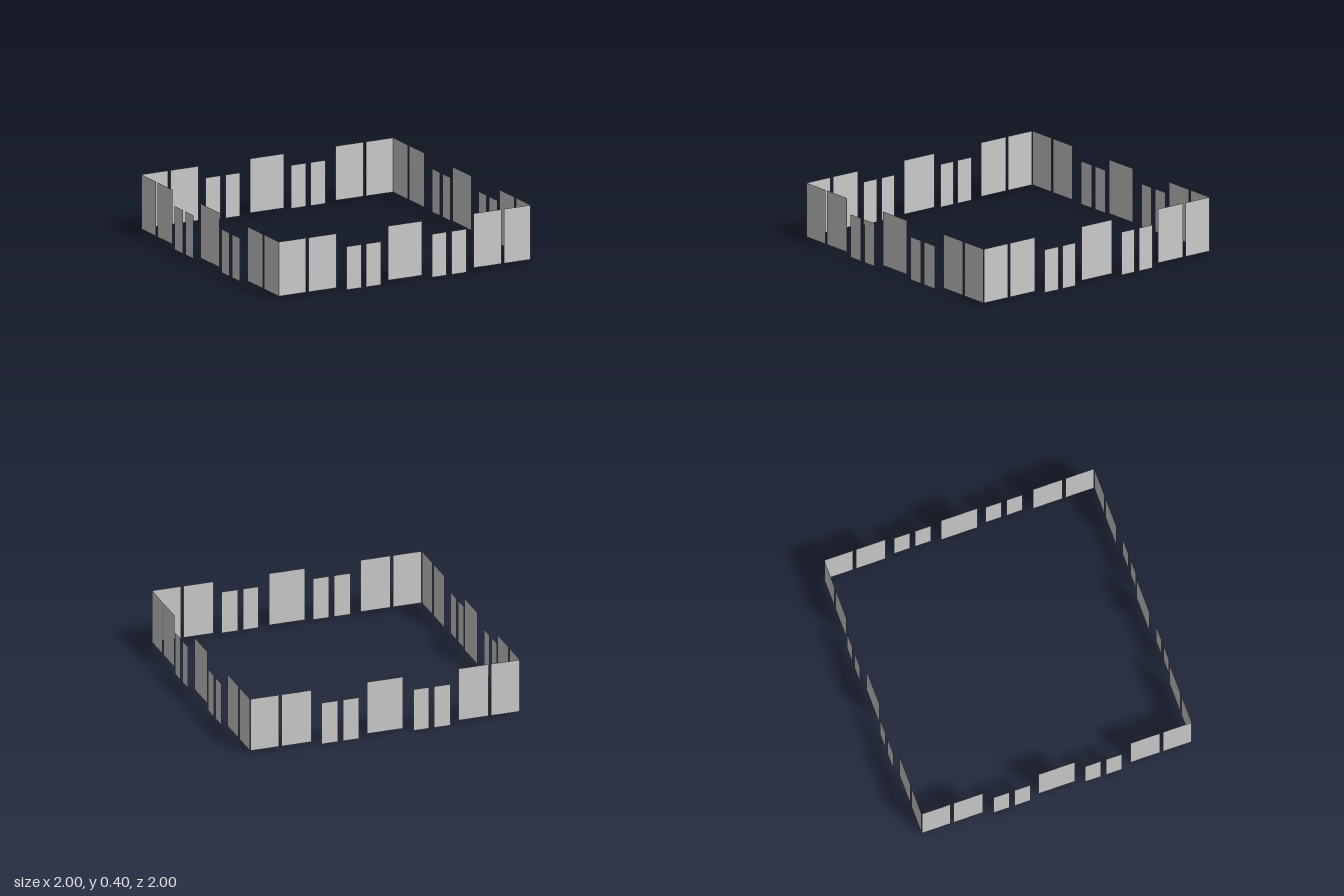
import * as THREE from 'three';

// Thin upright panel spanning x0..x1 and y0..y1 at depth z
function panel(name, x0, x1, y0, y1, z, material) {
  const mesh = new THREE.Mesh(new THREE.PlaneGeometry(x1 - x0, y1 - y0), material);
  mesh.position.set((x0 + x1) / 2, (y0 + y1) / 2, z);
  mesh.name = name;
  return mesh;
}

export function createModel() {
  const model = new THREE.Group();
  model.name = 'panelRing';
  const material = new THREE.MeshStandardMaterial({ color: 0xcccccc, side: THREE.DoubleSide });

  // Spans on the positive half of one side; the negative half mirrors them
  const largeSpans = [[0.533, 0.75], [0.769, 0.977]];
  const smallSpans = [[0.198, 0.313], [0.349, 0.467]];

  // The same row of panels on all four sides
  for (let i = 0; i < 4; i++) {
    const side = new THREE.Group();
    side.name = ['front', 'left', 'back', 'right'][i] + 'Side';

    side.add(panel('centrePanel', -0.132, 0.132, 0.018, 0.403, 0.979, material));
    for (const [a, b] of largeSpans) {
      side.add(panel('largePanel', a, b, 0.018, 0.403, 0.979, material));
      side.add(panel('largePanel', -b, -a, 0.018, 0.403, 0.979, material));
    }
    // Smaller panels stand slightly further out and reach the floor
    for (const [a, b] of smallSpans) {
      side.add(panel('smallPanel', a, b, 0, 0.307, 1, material));
      side.add(panel('smallPanel', -b, -a, 0, 0.307, 1, material));
    }

    side.rotation.y = i * Math.PI / 2;
    model.add(side);
  }
  return model;
}
